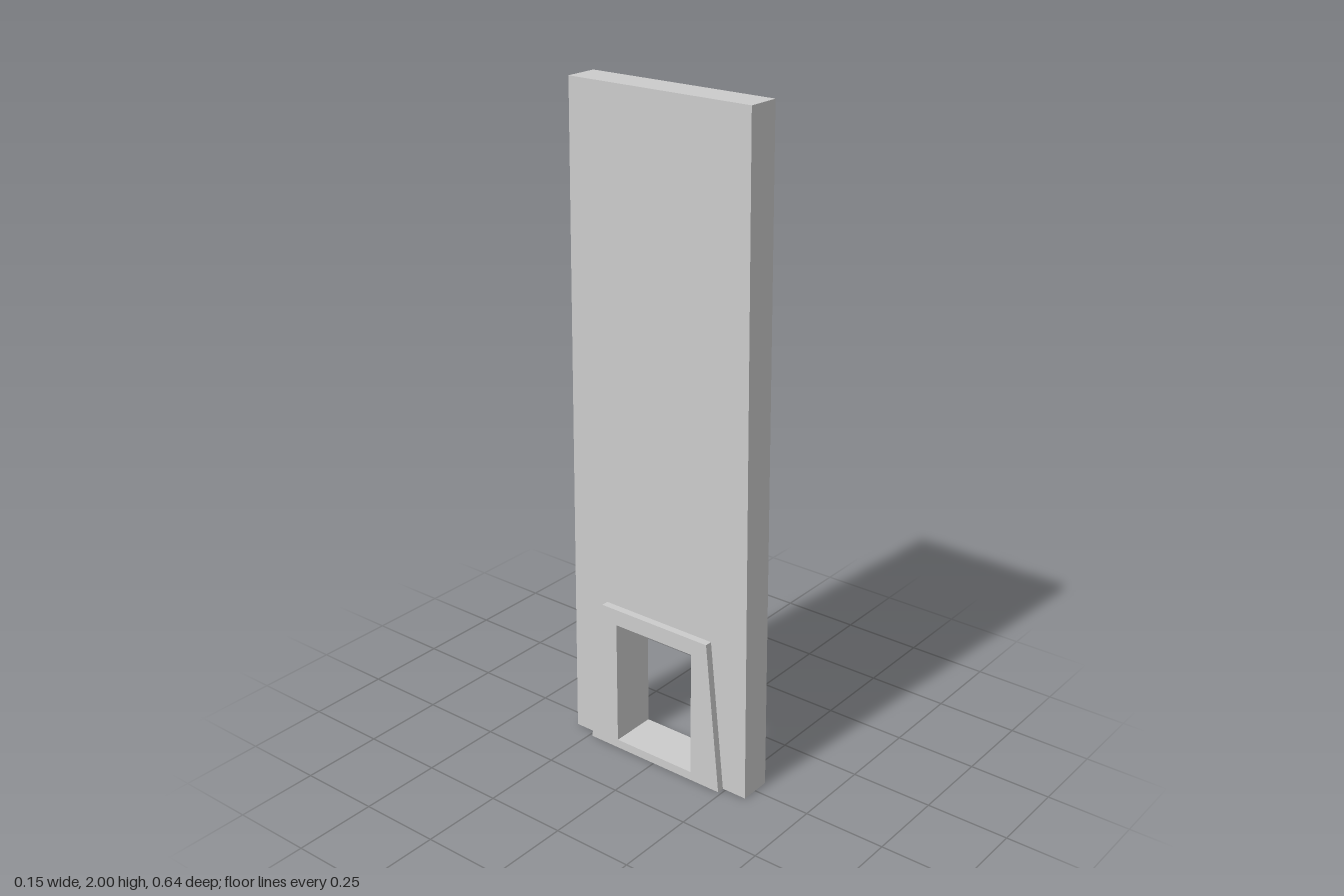
import * as THREE from 'three';

const material = new THREE.MeshStandardMaterial({ color: 0xcccccc, side: THREE.DoubleSide, flatShading: true });

// Profiles as [z, y], running up the front edge, across the top and down the back
const trapezoid = (bottom, top, y0, y1) => [[bottom, y0], [top, y1], [-top, y1], [-bottom, y0]];
const SLAB = trapezoid(0.319, 0.297, 0, 2);
const FRAME = trapezoid(0.24, 0.191, 0, 0.47);
const OPENING = trapezoid(0.138, 0.138, 0.027, 0.42);
const SLAB_X = 0.05;
const FRAME_X = 0.073;

const toVectors = (points) => points.map(([z, y]) => new THREE.Vector2(z, y));

function addMesh(group, geometry, name) {
  const mesh = new THREE.Mesh(geometry, material);
  mesh.name = name;
  group.add(mesh);
}

// Flat panel facing +x or -x
function panel(shape, x) {
  const geometry = new THREE.ShapeGeometry(shape);
  geometry.rotateY(Math.sign(x) * Math.PI / 2);
  return geometry.translate(x, 0, 0);
}

// Strip of quads along a profile, spanning x0 to x1
function band(points, x0, x1) {
  const positions = [];
  for (let i = 0; i < points.length - 1; i++) {
    const [pz, py] = points[i];
    const [qz, qy] = points[i + 1];
    positions.push(x0, py, pz, x1, py, pz, x1, qy, qz);
    positions.push(x0, py, pz, x1, qy, qz, x0, qy, qz);
  }
  const geometry = new THREE.BufferGeometry();
  geometry.setAttribute('position', new THREE.Float32BufferAttribute(positions, 3));
  geometry.computeVertexNormals();
  return geometry;
}

export function createModel() {
  const model = new THREE.Group();
  model.name = 'taperedPanel';

  // Slab face, notched at the foot where the frame sits
  const slabShape = new THREE.Shape(toVectors([...SLAB, ...[...FRAME].reverse()]));

  // Frame face with the window cut out
  const frameShape = new THREE.Shape(toVectors(FRAME));
  frameShape.holes.push(new THREE.Path(toVectors(OPENING)));

  for (const [side, sign] of [['left', 1], ['right', -1]]) {
    addMesh(model, panel(slabShape, sign * SLAB_X), `${side}SlabFace`);
    addMesh(model, panel(frameShape, sign * FRAME_X), `${side}FrameFace`);
    // Raised lip between slab and frame
    const [x0, x1] = [sign * SLAB_X, sign * FRAME_X].sort((a, b) => a - b);
    addMesh(model, band(FRAME, x0, x1), `${side}FrameLip`);
  }

  // Slab edges; the underside stays open
  addMesh(model, band(SLAB, -SLAB_X, SLAB_X), 'slabEdges');

  // Lining of the window, facing inward
  const loop = [...OPENING, OPENING[0]].reverse();
  addMesh(model, band(loop, -FRAME_X, FRAME_X), 'windowLining');

  return model;
}
